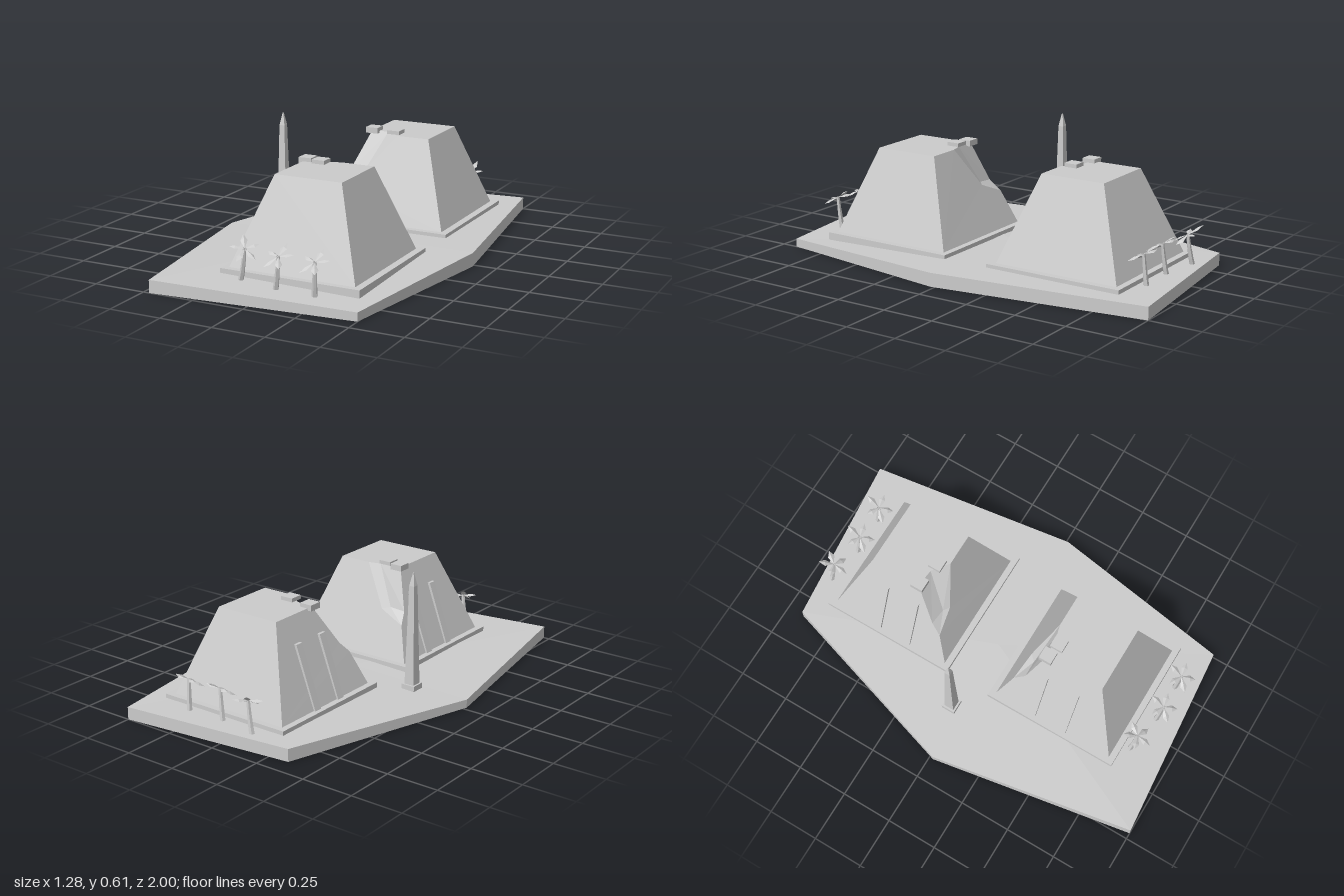
import * as THREE from 'three';

const material = new THREE.MeshStandardMaterial({ color: 0xcccccc, flatShading: true, side: THREE.DoubleSide });

function add(parent, name, geometry) {
  const mesh = new THREE.Mesh(geometry, material);
  mesh.name = name;
  parent.add(mesh);
  return mesh;
}

// Flat-shaded surface from polygons, each split into a fan around its first corner
function polygons(faces, flip = false) {
  const points = [];
  for (const f of faces) {
    for (let i = 1; i < f.length - 1; i++) {
      points.push(...f[0], ...(flip ? f[i + 1] : f[i]), ...(flip ? f[i] : f[i + 1]));
    }
  }
  const g = new THREE.BufferGeometry();
  g.setAttribute('position', new THREE.Float32BufferAttribute(points, 3));
  g.computeVertexNormals();
  return g;
}

// Box without a floor: four walls and a lid
function openBox(x0, x1, y0, y1, z0, z1) {
  const ring = [[x0, z1], [x1, z1], [x1, z0], [x0, z0]];
  const faces = ring.map(([x, z], i) => {
    const [nx, nz] = ring[(i + 1) % 4];
    return [[x, y0, z], [nx, y0, nz], [nx, y1, nz], [x, y1, z]];
  });
  faces.push(ring.map(([x, z]) => [x, y1, z]));
  return polygons(faces);
}

// Uneven six-sided ground slab, open underneath
function groundGeometry() {
  const rim = [
    [-0.47, 0.06, 1], [0.5, 0.04, 0.92], [0.64, 0.065, 0.02],
    [0.5, 0.06, -1], [-0.35, 0.06, -0.91], [-0.64, 0.04, 0.02],
  ];
  const faces = [];
  rim.forEach((a, i) => {
    const b = rim[(i + 1) % rim.length];
    faces.push([[a[0], 0, a[2]], [b[0], 0, b[2]], b, a]);
    faces.push([[0, 0.062, 0], a, b]);
  });
  return polygons(faces);
}

// Truncated pyramid with a broken corner; side = 1 or -1 turns the break to +z or -z
function pyramidGeometry(zc, side, notch) {
  const low = 0.08, high = 0.485;
  const p = (x, y, v) => [x, y, zc + side * v];
  const at = (t) => low + t * (high - low);
  const P0 = p(-0.22, low, 0.31), P1 = p(0.4, low, 0.31), P2 = p(0.4, low, -0.31), P3 = p(-0.22, low, -0.31);
  const Q1 = p(0.26, high, 0.16), Q2 = p(0.26, high, -0.16), Q3 = p(-0.07, high, -0.16);
  // Corners of the break: ledge A B C M and rim T1 T2 T3
  const A = p(-0.14, at(0.53), 0.2), B = p(-0.03, at(0.53), 0.23), C = p(-0.16, at(0.4), 0.25);
  const M = p(-0.06, 0.3, notch.m);
  const T1 = p(-0.07, high, notch.t1), T2 = p(notch.x, high, notch.t2), T3 = p(0.1, high, 0.16);
  return polygons([
    [P1, Q1, T3, B, C, P0], [P3, P0, C, A, T1, Q3], [P1, P2, Q2, Q1], [P2, P3, Q3, Q2],
    [Q2, Q3, T1, T2, T3, Q1], [C, B, M, A], [A, M, T2, T1], [M, B, T3, T2],
  ], side < 0);
}

// Sloping rib lying on the -x face
function ribGeometry(z) {
  const shape = new THREE.Shape([
    [-0.23, 0.078], [-0.2, 0.078], [-0.105, 0.37], [-0.126, 0.37],
  ].map(([x, y]) => new THREE.Vector2(x, y)));
  return new THREE.ExtrudeGeometry(shape, { depth: 0.04, bevelEnabled: false }).translate(0, 0, z - 0.02);
}

// Tapered, bent five-sided trunk
function trunkGeometry(from, to) {
  const mid = new THREE.Vector3(from.x + (to.x - from.x) * 0.75, 0.12, from.z + (to.z - from.z) * 0.7);
  const curve = new THREE.QuadraticBezierCurve3(from, mid, to);
  const sides = 5, steps = 3, faces = [];
  const ring = (t) => {
    const c = curve.getPoint(t), r = 0.014 - 0.006 * t;
    return Array.from({ length: sides }, (_, i) => {
      const a = (i / sides) * Math.PI * 2;
      return [c.x + r * Math.sin(a), c.y, c.z + r * Math.cos(a)];
    });
  };
  for (let s = 0; s < steps; s++) {
    const a = ring(s / steps), b = ring((s + 1) / steps);
    for (let i = 0; i < sides; i++) {
      const j = (i + 1) % sides;
      faces.push([a[i], a[j], b[j], b[i]]);
    }
  }
  return polygons(faces);
}

// Five diamond leaves, each folded along its spine
function crownGeometry(turn) {
  const lift = [0.045, 0.012, -0.035, -0.04, 0.008];
  const faces = [];
  lift.forEach((dy, i) => {
    const a = turn + (i / 5) * Math.PI * 2;
    const q = (r, w, y) => [r * Math.sin(a) + w * Math.cos(a), y, -r * Math.cos(a) + w * Math.sin(a)];
    const root = q(0, 0, 0), tip = q(0.07, 0, dy);
    const ridge = q(0.042, 0, dy * 0.6 + 0.006);
    const left = q(0.042, -0.016, dy * 0.6 - 0.003), right = q(0.042, 0.016, dy * 0.6 - 0.003);
    faces.push([ridge, root, right], [ridge, right, tip], [ridge, tip, left], [ridge, left, root]);
  });
  return polygons(faces);
}

function palm(parent, x, z, lean, turn) {
  const g = new THREE.Group();
  g.name = 'palm';
  add(g, 'trunk', trunkGeometry(new THREE.Vector3(x - lean, 0.03, z - 0.015), new THREE.Vector3(x, 0.205, z)));
  add(g, 'leaves', crownGeometry(turn)).position.set(x, 0.203, z);
  parent.add(g);
}

export function createModel() {
  const model = new THREE.Group();
  model.name = 'pyramidSite';
  add(model, 'ground', groundGeometry());

  // Two pyramids whose broken corners face each other
  const sites = [
    { name: 'backPyramid', zc: -0.48, side: 1, notch: { m: 0.21, t1: 0.09, t2: 0.1, x: 0.02 },
      ribs: [-0.55, -0.385], blocks: [[-0.06, 0.475, -0.39], [0.065, 0.485, -0.37]] },
    { name: 'frontPyramid', zc: 0.43, side: -1, notch: { m: 0.2, t1: 0.135, t2: 0.145, x: 0.04 },
      ribs: [0.32, 0.485], blocks: [[-0.06, 0.475, 0.3], [0.015, 0.485, 0.315]] },
  ];
  for (const s of sites) {
    const g = new THREE.Group();
    g.name = s.name;
    add(g, 'plinth', openBox(-0.25, 0.435, 0.03, 0.08, s.zc - 0.34, s.zc + 0.34));
    add(g, 'pyramid', pyramidGeometry(s.zc, s.side, s.notch));
    for (const z of s.ribs) add(g, 'rib', ribGeometry(z));
    for (const [x, y, z] of s.blocks) {
      const h = 0.503 - y;
      add(g, 'looseBlock', new THREE.BoxGeometry(0.063, h, 0.063)).position.set(x, y + h / 2, z);
    }
    model.add(g);
  }

  // Obelisk on a small foot
  const obelisk = new THREE.Group();
  obelisk.name = 'obelisk';
  add(obelisk, 'foot', openBox(-0.034, 0.034, 0.03, 0.074, -0.034, 0.034));
  const profile = [[0.025, 0.07], [0.0135, 0.55], [0.002, 0.61], [0, 0.61]]
    .map(([r, y]) => new THREE.Vector2(r * Math.SQRT2, y));
  add(obelisk, 'shaft', new THREE.LatheGeometry(profile, 4, Math.PI / 4));
  obelisk.position.set(-0.375, 0, -0.037);
  model.add(obelisk);

  // Palm rows along both ends: x, z, lean, turn
  const palms = [
    [-0.095, 0.815, 0.035, -0.6], [0.09, 0.85, 0.025, 0.1], [0.265, 0.85, 0.01, 0.15],
    [-0.1, -0.87, 0.035, -0.6], [0.085, -0.84, 0.025, 0.1], [0.265, -0.845, 0.01, 0.15],
  ];
  for (const p of palms) palm(model, ...p);
  return model;
}
